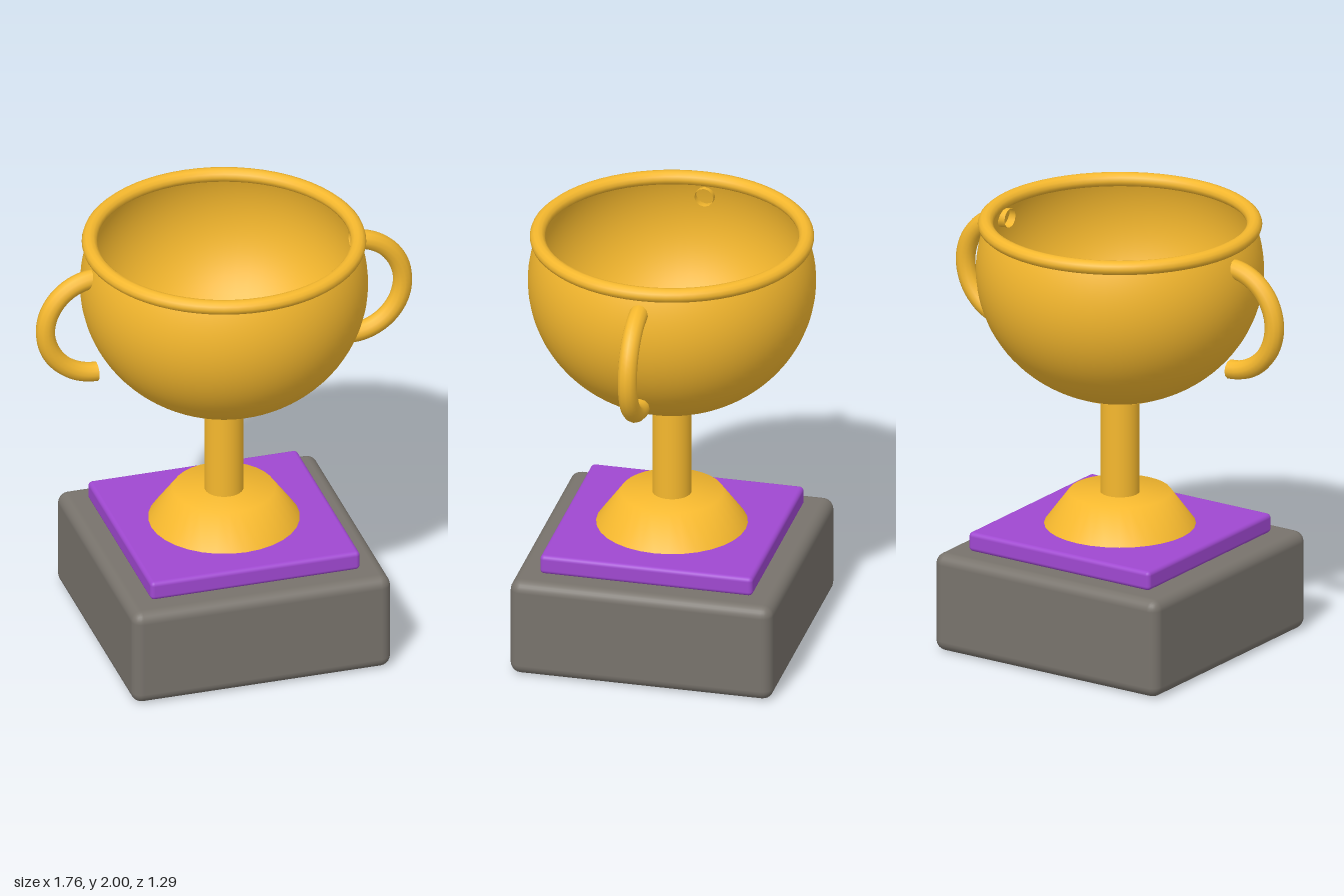
import * as THREE from 'three';
import { RoundedBoxGeometry } from 'three/addons/geometries/RoundedBoxGeometry.js';

const gold = new THREE.MeshStandardMaterial({ color: 0xf5b82e, side: THREE.DoubleSide });
const purple = new THREE.MeshStandardMaterial({ color: 0x9f48d0 });
const stone = new THREE.MeshStandardMaterial({ color: 0x78736c });

export function createModel() {
  const model = new THREE.Group();
  model.name = 'trophy';

  const add = (name, geometry, material, x = 0, y = 0, z = 0) => {
    const mesh = new THREE.Mesh(geometry, material);
    mesh.name = name;
    mesh.position.set(x, y, z);
    model.add(mesh);
    return mesh;
  };

  // Stepped square pedestal
  add('base', new RoundedBoxGeometry(1.21, 0.46, 1.21, 3, 0.05), stone, 0, 0.23, 0);
  add('plinth', new RoundedBoxGeometry(0.98, 0.09, 0.98, 3, 0.02), purple, 0, 0.505, 0);

  // Flared foot with softly shaded shoulder, and stem
  const footProfile = [[0.34, 0.55], [0.23, 0.7], [0, 0.7]].map(([r, y]) => new THREE.Vector2(r, y));
  add('foot', new THREE.LatheGeometry(footProfile, 32), gold);
  add('stem', new THREE.CylinderGeometry(0.088, 0.088, 0.48, 32), gold, 0, 0.93, 0);

  // Open bowl: slightly flattened sphere cut off under the rim
  const cut = Math.acos(0.2 / 0.6);
  const bowl = new THREE.SphereGeometry(1, 64, 32, 0, Math.PI * 2, cut, Math.PI - cut);
  bowl.scale(0.645, 0.6, 0.645);
  add('bowl', bowl, gold, 0, 1.75, 0);

  // Low dome on the bowl's floor
  const dome = new THREE.SphereGeometry(1, 32, 10, 0, Math.PI * 2, 0, Math.PI / 2);
  dome.scale(0.22, 0.08, 0.22);
  add('bowlDome', dome, gold, 0, 1.184, 0);

  // Rolled rim
  const rim = new THREE.TorusGeometry(0.602, 0.035, 12, 64);
  rim.rotateX(Math.PI / 2);
  rim.scale(1, 0.92, 1);
  add('rim', rim, gold, 0, 1.968, 0);

  // Mirrored half-ring handles
  for (const side of [1, -1]) {
    const handle = new THREE.TorusGeometry(0.24, 0.044, 12, 32, Math.PI);
    handle.rotateZ(-side * Math.PI / 2);
    add(side > 0 ? 'leftHandle' : 'rightHandle', handle, gold, side * 0.595, 1.636, 0);
  }

  // Diamond-shaped stud inside the front wall
  const stud = new THREE.ConeGeometry(0.132, 0.03, 4).toNonIndexed();
  stud.computeVertexNormals();
  stud.rotateX(Math.PI / 2);
  add('stud', stud, purple, 0, 1.53, 0.485);

  return model;
}
